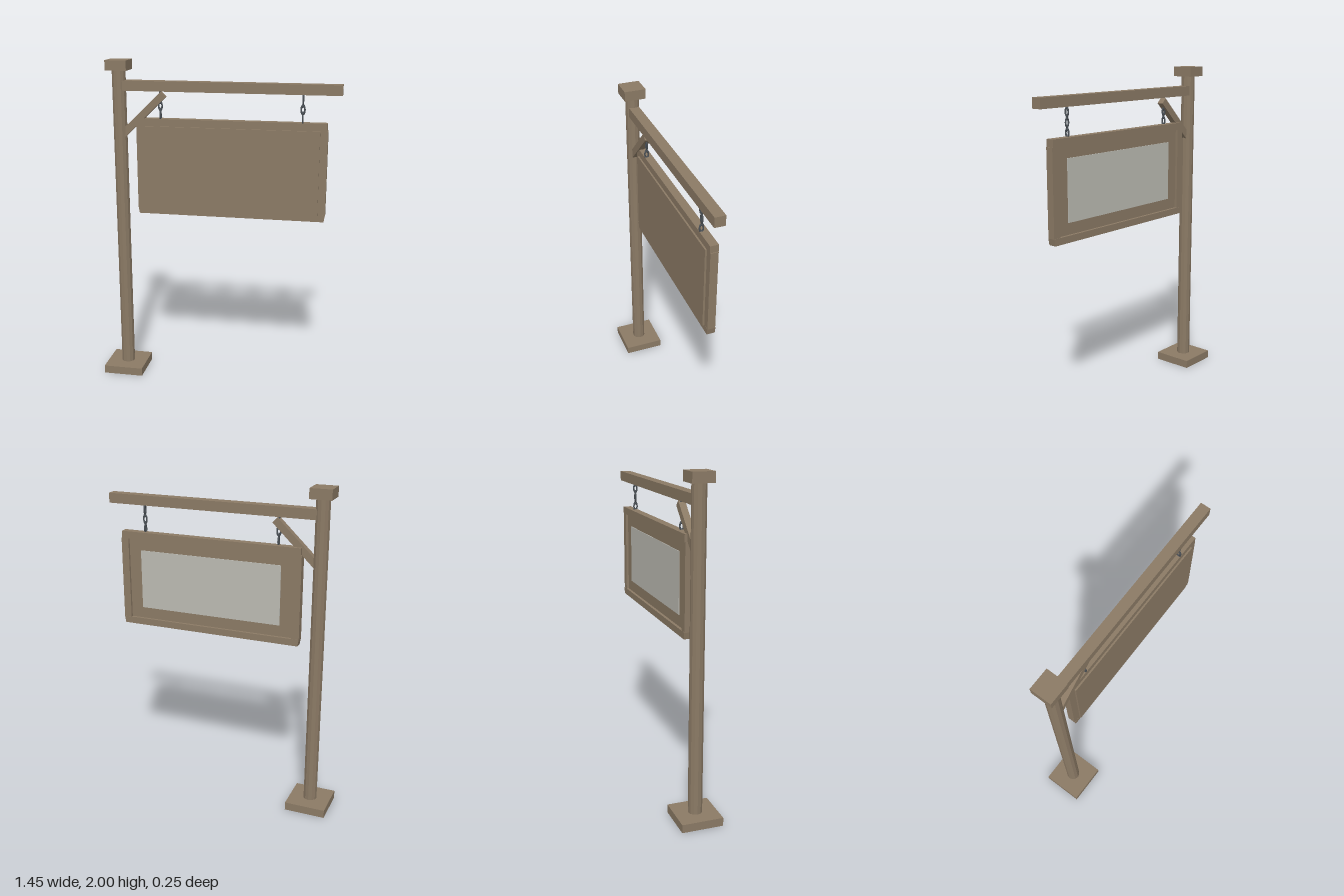
import * as THREE from 'three';

export function createModel() {
  const group = new THREE.Group();
  const material = (name, color) => {
    const m = new THREE.MeshStandardMaterial({ color });
    m.name = name;
    return m;
  };
  const wood = material('weathered wood', 0x8b7a65);
  const iron = material('dark iron', 0x4c5258);
  const paper = material('pale notice', 0xbcbbb3);

  const add = (name, geometry, mat, x, y, z = 0) => {
    const mesh = new THREE.Mesh(geometry, mat);
    mesh.name = name;
    mesh.position.set(x, y, z);
    group.add(mesh);
    return mesh;
  };
  // Box given by its minimum and maximum corners
  const box = (name, mat, [x0, y0, z0], [x1, y1, z1]) =>
    add(name, new THREE.BoxGeometry(x1 - x0, y1 - y0, z1 - z0), mat,
      (x0 + x1) / 2, (y0 + y1) / 2, (z0 + z1) / 2);

  // Post with its foot and cap
  box('base', wood, [-0.727, 0, -0.125], [-0.477, 0.05, 0.125]);
  const postGeometry = new THREE.CylinderGeometry(0.042, 0.042, 1.92, 12).toNonIndexed();
  postGeometry.computeVertexNormals();
  add('post', postGeometry, wood, -0.602, 1.0);
  box('postCap', wood, [-0.667, 1.94, -0.065], [-0.537, 2, 0.065]);

  // Arm and diagonal brace
  box('arm', wood, [-0.575, 1.82, -0.031], [0.725, 1.88, 0.031]);
  const from = new THREE.Vector2(-0.585, 1.555);
  const to = new THREE.Vector2(-0.33, 1.8);
  const brace = add('brace', new THREE.BoxGeometry(from.distanceTo(to), 0.043, 0.04), wood,
    (from.x + to.x) / 2, (from.y + to.y) / 2);
  brace.rotation.z = to.clone().sub(from).angle();

  // Board, standing slightly proud of the frame at the front
  box('board', wood, [-0.455, 1.1, -0.02], [0.605, 1.61, 0.022]);
  box('notice', paper, [-0.375, 1.175, -0.024], [0.525, 1.54, -0.018]);

  // Frame rails with slightly splayed ends, and side stiles
  const rail = (name, y0, y1, x0, x1, splay) => {
    const shape = new THREE.Shape([
      new THREE.Vector2(x0 + splay, y0), new THREE.Vector2(x1 - splay, y0),
      new THREE.Vector2(x1, y1), new THREE.Vector2(x0, y1),
    ]);
    add(name, new THREE.ExtrudeGeometry(shape, { depth: 0.049, bevelEnabled: false }),
      wood, 0, 0, -0.037);
  };
  rail('bottomRail', 1.065, 1.106, -0.5, 0.65, 0.007);
  rail('topRail', 1.61, 1.655, -0.495, 0.645, 0);
  box('rightStile', wood, [-0.5, 1.104, -0.035], [-0.453, 1.612, 0.011]);
  box('leftStile', wood, [0.603, 1.104, -0.035], [0.65, 1.612, 0.011]);

  // Chains of oval links, each turned a quarter from its neighbour
  for (const x of [-0.35, 0.5]) {
    for (let i = 0; i < 3; i++) {
      const link = new THREE.TorusGeometry(0.011, 0.005, 6, 12);
      link.scale(1, 2.05, 1);
      const mesh = add('chainLink', link, iron, x, 1.79 - i * 0.058);
      mesh.rotation.y = i % 2 ? 0 : Math.PI / 2;
    }
  }
  return group;
}
